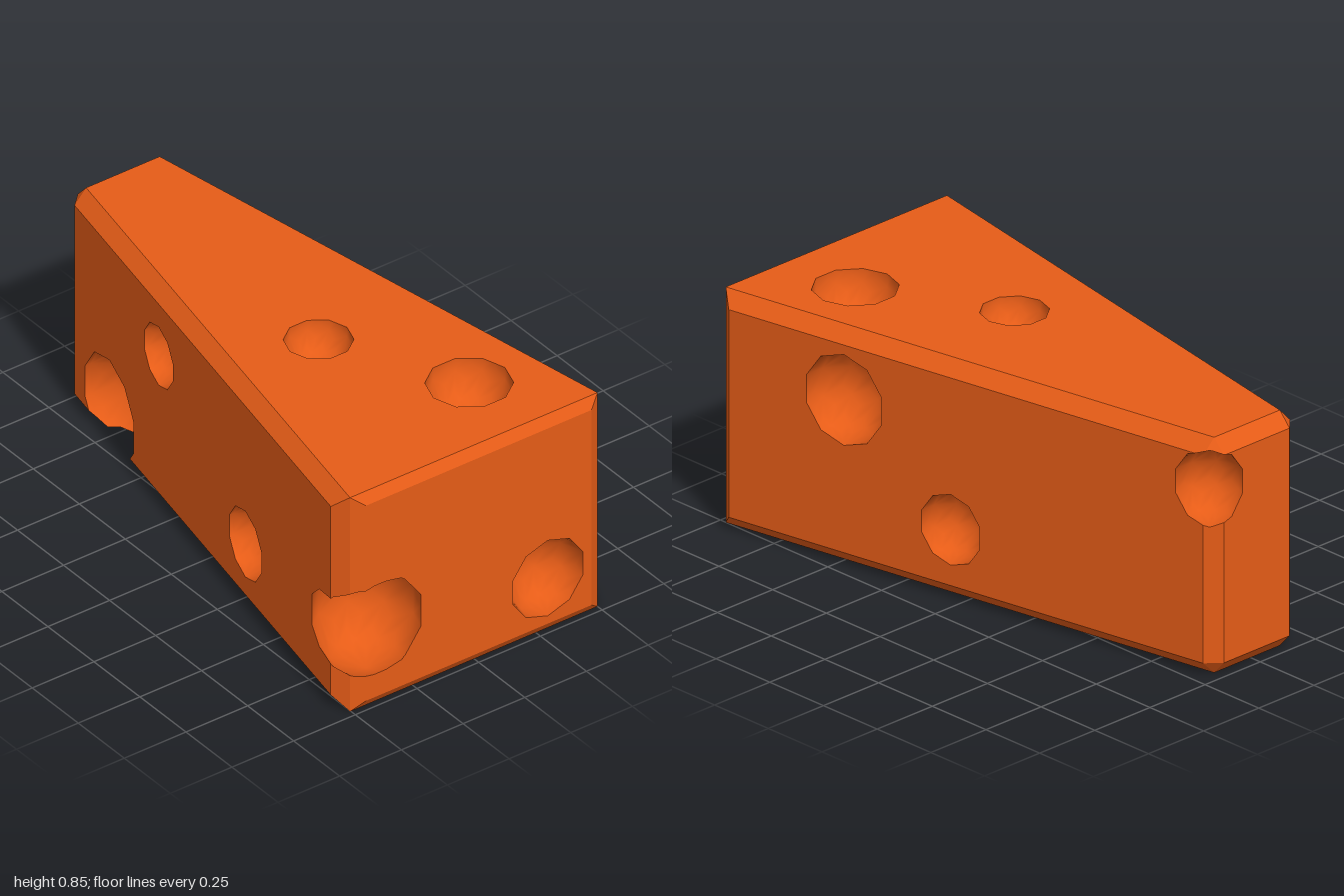
import * as THREE from 'three';
import { ConvexGeometry } from 'three/addons/geometries/ConvexGeometry.js';

const EPS = 1e-5;
const V = (x, y, z) => new THREE.Vector3(x, y, z);
const HEIGHT = 0.845;

// Triangles of a geometry as polygons (lists of points)
function polygonsOf(geometry) {
  const g = geometry.index ? geometry.toNonIndexed() : geometry;
  const p = g.attributes.position, out = [];
  for (let i = 0; i < p.count; i += 3) {
    const tri = [0, 1, 2].map(k => new THREE.Vector3().fromBufferAttribute(p, i + k));
    if (new THREE.Triangle(...tri).getArea() > 1e-8) out.push(tri);
  }
  return out;
}

const planeOf = ([a, b, c]) => new THREE.Plane().setFromCoplanarPoints(a, b, c);

// Cut a convex polygon by a plane into its outer and inner piece
function split(poly, plane) {
  const d = poly.map(p => plane.distanceToPoint(p));
  if (!d.some(v => v > EPS)) return [[], poly];
  if (!d.some(v => v < -EPS)) return [poly, []];
  const outer = [], inner = [];
  poly.forEach((p, i) => {
    const j = (i + 1) % poly.length;
    if (d[i] > -EPS) outer.push(p);
    if (d[i] < EPS) inner.push(p);
    if ((d[i] > EPS && d[j] < -EPS) || (d[i] < -EPS && d[j] > EPS)) {
      const q = p.clone().lerp(poly[j], d[i] / (d[i] - d[j]));
      outer.push(q);
      inner.push(q);
    }
  });
  return [outer, inner];
}

// Part of a polygon outside a convex solid
function subtract(poly, planes) {
  const kept = [];
  let rest = poly;
  for (const plane of planes) {
    const [outer, inner] = split(rest, plane);
    if (inner.length < 3) return [poly];
    if (outer.length > 2) kept.push(outer);
    rest = inner;
  }
  return kept;
}

// Part of a polygon inside a convex solid
function intersect(poly, planes) {
  let rest = poly;
  for (const plane of planes) {
    rest = split(rest, plane)[1];
    if (rest.length < 3) return null;
  }
  return rest;
}

// Insert every vertex that lies on an edge, so neighbouring pieces join cleanly
function weld(poly, points) {
  const out = [];
  poly.forEach((a, i) => {
    const dir = poly[(i + 1) % poly.length].clone().sub(a), len = dir.length();
    out.push(a);
    if (len < EPS) return;
    dir.divideScalar(len);
    const onEdge = [];
    for (const p of points) {
      const r = p.clone().sub(a), t = r.dot(dir);
      if (t > 2 * EPS && t < len - 2 * EPS && r.addScaledVector(dir, -t).length() < 2 * EPS) onEdge.push([t, p]);
    }
    onEdge.sort((m, n) => m[0] - n[0]).forEach(e => out.push(e[1]));
  });
  return out;
}

// Mesh from convex polygons, each fanned about its middle
function meshOf(name, faces, points, material) {
  const pos = [], nor = [];
  for (const { poly, normalAt } of faces) {
    const ring = weld(poly, points);
    const mid = V(0, 0, 0);
    poly.forEach(p => mid.addScaledVector(p, 1 / poly.length));
    ring.forEach((p, i) => {
      for (const q of [mid, p, ring[(i + 1) % ring.length]]) {
        pos.push(q.x, q.y, q.z);
        nor.push(...normalAt(q).toArray());
      }
    });
  }
  const g = new THREE.BufferGeometry();
  g.setAttribute('position', new THREE.Float32BufferAttribute(pos, 3));
  g.setAttribute('normal', new THREE.Float32BufferAttribute(nor, 3));
  const mesh = new THREE.Mesh(g, material);
  mesh.name = name;
  return mesh;
}

export function createModel() {
  const group = new THREE.Group();
  group.name = 'cheeseWedge';
  const material = new THREE.MeshStandardMaterial({ color: 0xe65c17 });

  // Bevelled wedge: [x, z, inset from top and bottom]
  const outline = [
    [-0.955, 0.133, 0], [0.975, 0.503, 0], [0.975, -0.5, 0], [-0.955, -0.165, 0],   // top and bottom faces
    [-0.955, 0.18, 0.05], [0.92, 0.54, 0.05], [0.92, -0.54, 0.05], [-0.955, -0.215, 0.05], // long walls
    [-1, 0.133, 0.05], [-1, -0.165, 0.05], [1, 0.457, 0.037], [1, -0.457, 0.037],   // end walls
  ];
  const corners = outline.flatMap(([x, z, inset]) => [V(x, inset, z), V(x, HEIGHT - inset, z)]);
  const wedge = polygonsOf(new ConvexGeometry(corners));
  const wedgePlanes = wedge.map(planeOf);

  // Round holes: x, y, z, radius
  const frontZ = x => 0.363 + 0.192 * x, backZ = x => -0.3805 - 0.1733 * x;
  const holes = [
    [0.68, HEIGHT, -0.2, 0.152], [0.19, HEIGHT, 0.045, 0.121],          // top
    [-0.34, 0.59, frontZ(-0.34), 0.115], [0.295, 0.25, frontZ(0.295), 0.13], // front
    [-0.7, 0.15, frontZ(-0.7), 0.196],                                  // front bottom bite
    [0.925, 0.302, 0.4, 0.2],                                           // front corner bite
    [1, 0.217, -0.28, 0.149],                                           // wide end
    [0.465, 0.598, backZ(0.465), 0.163], [0.043, 0.25, backZ(0.043), 0.127], // back
    [-0.97, 0.675, -0.2, 0.137],                                        // narrow corner bite
  ];

  let shell = wedge.map(poly => ({ poly, normal: planeOf(poly).normal }));
  const pits = [];
  for (const [x, y, z, r] of holes) {
    const centre = V(x, y, z);
    const ball = polygonsOf(new THREE.SphereGeometry(r, 10, 5).rotateY(Math.PI / 2).translate(x, y, z));
    const ballPlanes = ball.map(planeOf);
    shell = shell.flatMap(f => subtract(f.poly, ballPlanes).map(poly => ({ poly, normal: f.normal })));
    const normalAt = p => centre.clone().sub(p).normalize();
    for (const tri of ball) {
      const poly = intersect(tri, wedgePlanes);
      if (poly) pits.push({ poly: [...poly].reverse(), normalAt });
    }
  }
  shell.forEach(f => { f.normalAt = () => f.normal; });

  // Shared vertices of both surfaces
  const unique = new Map();
  for (const { poly } of [...shell, ...pits])
    for (const p of poly) unique.set(p.toArray().map(v => Math.round(v * 1e5)).join(), p);
  const points = [...unique.values()];

  group.add(meshOf('wedge', shell, points, material), meshOf('holes', pits, points, material));
  return group;
}
